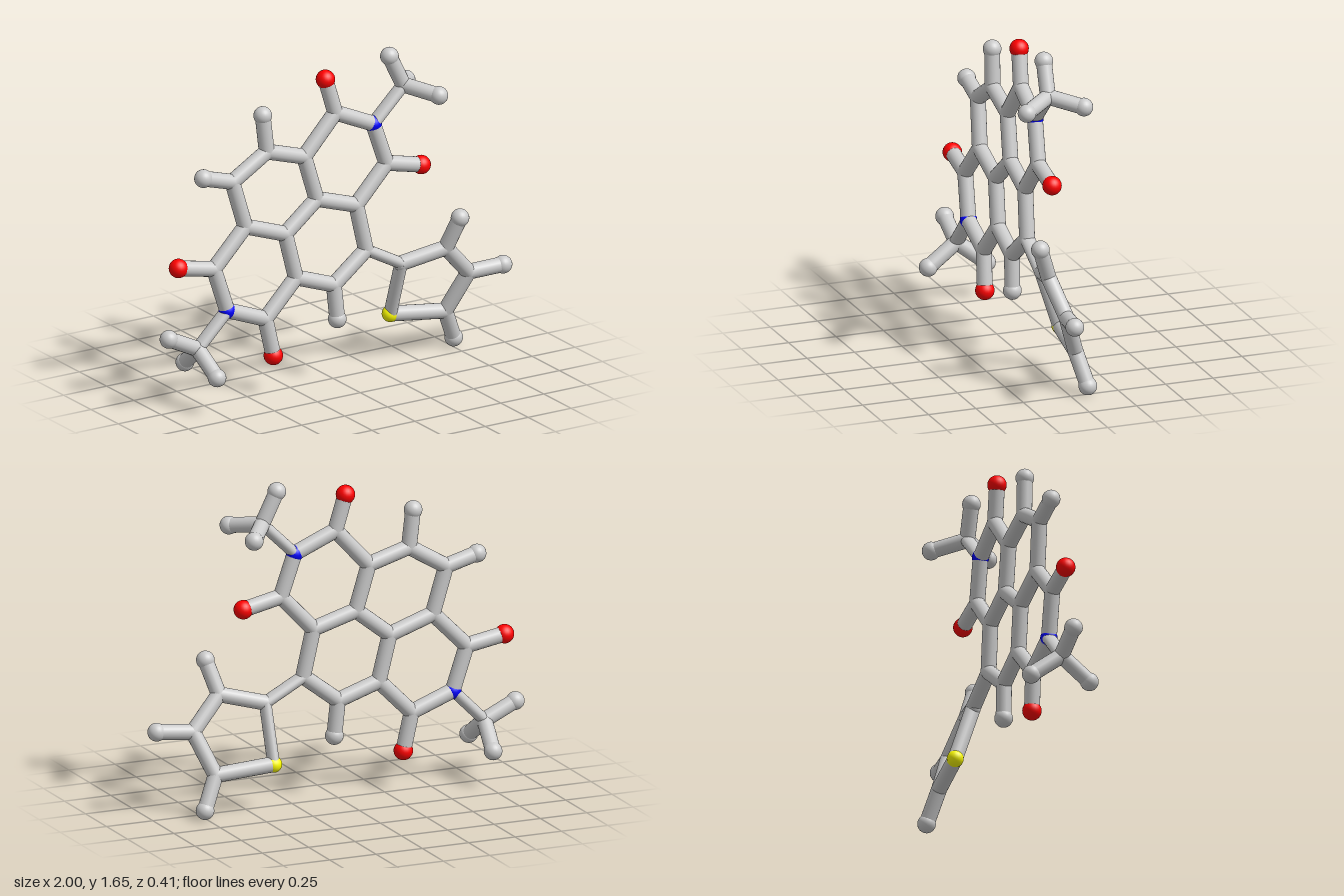
import * as THREE from 'three';

const STICK = 0.039;
const materials = {
  grey: new THREE.MeshStandardMaterial({ color: 0xcccccc }),
  red: new THREE.MeshStandardMaterial({ color: 0xff0000 }),
  blue: new THREE.MeshStandardMaterial({ color: 0x0000ff }),
  yellow: new THREE.MeshStandardMaterial({ color: 0xffff00 }),
};

// Ball styles by element
const styles = {
  C: { name: 'carbonJoint', radius: STICK, material: materials.grey },
  H: { name: 'hydrogenBall', radius: 0.046, material: materials.grey },
  O: { name: 'oxygenBall', radius: 0.048, material: materials.red },
  N: { name: 'nitrogenBall', radius: 0.043, material: materials.blue },
  S: { name: 'sulfurBall', radius: 0.042, material: materials.yellow },
};

// Atom centres; the first letter is the element
const atoms = {
  // upper imide ring
  C1: [0.025, 1.375, -0.02], O1: [-0.025, 1.555, -0.03],
  N1: [0.24, 1.28, -0.01], C2: [0.31, 1.065, 0], O2: [0.51, 1.02, 0.005],
  // fused core
  C3: [0.135, 0.88, 0], C4: [-0.09, 0.95, -0.01], C5: [-0.155, 1.18, -0.02],
  C6: [-0.37, 1.245, -0.025], C7: [-0.57, 1.125, -0.025],
  C8: [-0.505, 0.885, -0.01], C9: [-0.275, 0.805, -0.005],
  C10: [-0.22, 0.57, 0.005], C11: [-0.005, 0.495, 0.015], C12: [0.185, 0.64, 0.01],
  H6: [-0.39, 1.435, -0.03], H7: [-0.735, 1.172, -0.03], H11: [0.012, 0.315, 0.02],
  // lower imide ring
  C13: [-0.69, 0.7, -0.005], O13: [-0.89, 0.738, -0.015],
  N2: [-0.62, 0.475, 0.005], C14: [-0.4, 0.39, 0.01], O14: [-0.36, 0.195, 0.02],
  // methyl groups
  C15: [0.415, 1.45, -0.01], H15a: [0.34, 1.61, -0.018],
  H15b: [0.525, 1.418, 0.143], H15c: [0.525, 1.413, -0.157],
  C16: [-0.79, 0.305, 0.003], H16a: [-0.955, 0.385, 0],
  H16b: [-0.775, 0.197, 0.157], H16c: [-0.768, 0.188, -0.148],
  // five-sided side ring
  C17: [0.39, 0.53, 0.01], C18: [0.615, 0.585, 0.065], C19: [0.77, 0.42, 0.03],
  C20: [0.685, 0.21, -0.05], S1: [0.387, 0.24, -0.085],
  H18: [0.66, 0.75, 0.125], H19: [0.953, 0.433, 0.058], H20: [0.758, 0.047, -0.087],
};

// Chains of bonded atoms
const chains = [
  'C1 N1 C2 C3 C4 C5 C1', 'C5 C6 C7 C8 C9 C4', 'C9 C10 C11 C12 C3',
  'C8 C13 N2 C14 C10', 'C1 O1', 'C2 O2', 'C13 O13', 'C14 O14',
  'C6 H6', 'C7 H7', 'C11 H11',
  'H15a C15 H15b', 'C15 H15c', 'H16a C16 H16b', 'C16 H16c',
  'C17 C18 C19 C20 S1', 'C18 H18', 'C19 H19', 'C20 H20',
];
// Narrow linking bonds
const slimChains = ['N1 C15', 'N2 C16', 'C12 C17', 'C17 S1'];

const ballGeometry = new THREE.SphereGeometry(1, 24, 16);
const stickGeometry = new THREE.CylinderGeometry(1, 1, 1, 20);

function makeBall(id) {
  const style = styles[id[0]];
  const ball = new THREE.Mesh(ballGeometry, style.material);
  ball.name = style.name;
  ball.position.set(...atoms[id]);
  ball.scale.setScalar(style.radius);
  return ball;
}

// Rod between two atoms; width lies in the plane of the front
function makeStick(from, to, width, depth) {
  const a = new THREE.Vector3(...atoms[from]);
  const b = new THREE.Vector3(...atoms[to]);
  const along = b.clone().sub(a);
  const length = along.length();
  along.normalize();
  const side = along.clone().cross(new THREE.Vector3(0, 0, 1)).normalize();
  const out = side.clone().cross(along);
  const stick = new THREE.Mesh(stickGeometry, materials.grey);
  stick.name = 'bond';
  stick.quaternion.setFromRotationMatrix(new THREE.Matrix4().makeBasis(side, along, out));
  stick.position.copy(a).add(b).multiplyScalar(0.5);
  stick.scale.set(width, length, depth);
  return stick;
}

export function createModel() {
  const model = new THREE.Group();
  model.name = 'moleculeModel';

  const balls = new THREE.Group();
  balls.name = 'atoms';
  Object.keys(atoms).forEach((id) => balls.add(makeBall(id)));

  const bonds = new THREE.Group();
  bonds.name = 'bonds';
  const addChain = (chain, width, depth) => {
    const ids = chain.split(' ');
    for (let i = 1; i < ids.length; i++) bonds.add(makeStick(ids[i - 1], ids[i], width, depth));
  };
  chains.forEach((chain) => addChain(chain, STICK, STICK));
  slimChains.forEach((chain) => addChain(chain, 0.029, STICK));

  model.add(balls, bonds);
  return model;
}
